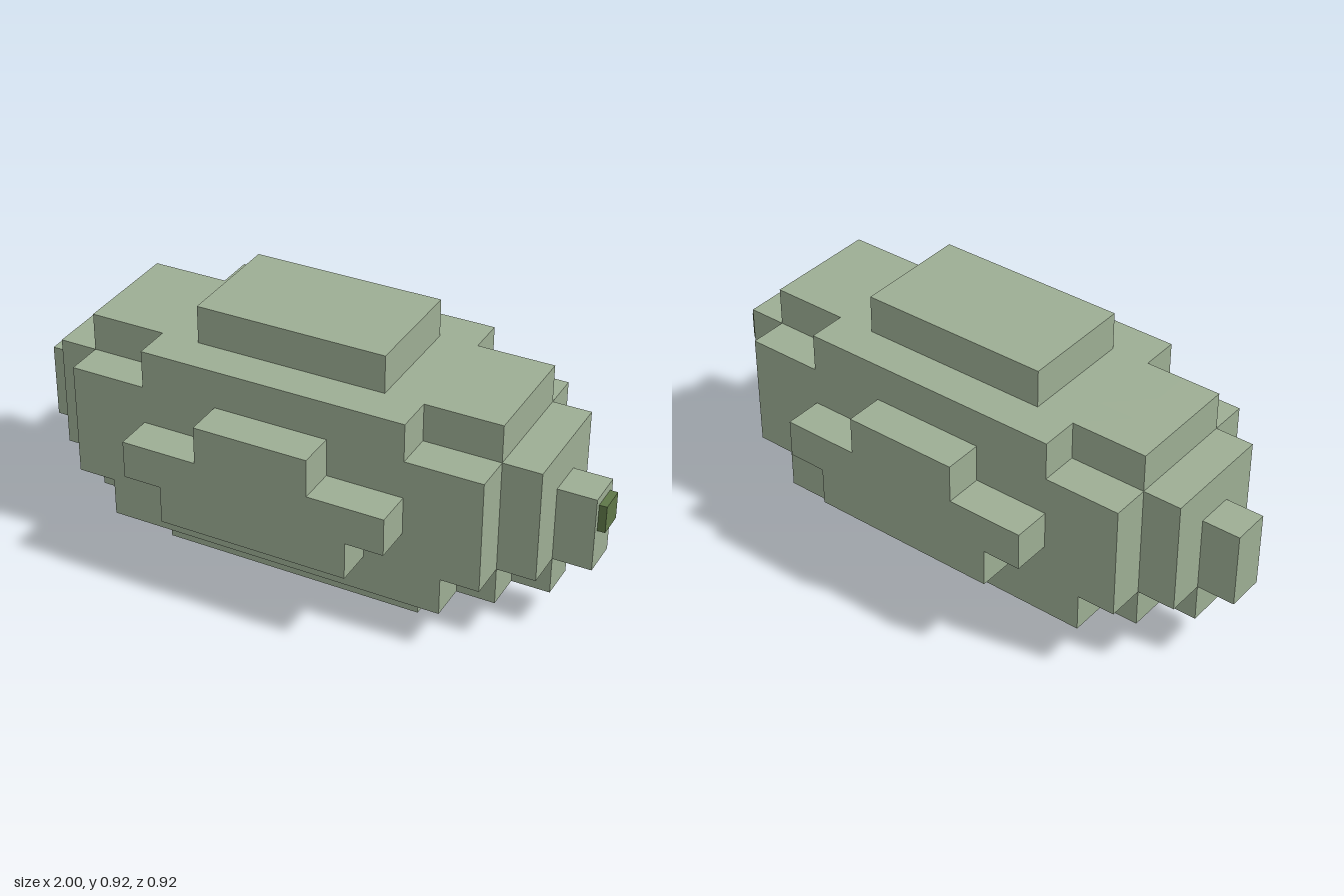
import * as THREE from 'three';
import { mergeGeometries } from 'three/addons/utils/BufferGeometryUtils.js';

const CELL = 0.1316;      // edge of one block
const CENTRE_X = -0.0132; // body sits slightly off centre because of the stem

// Half-length along x, in blocks, of each row: HALF[layer from the ground][distance from the middle in z]
const HALF = [
  [3, 3],
  [6, 5, 4],
  [7, 6, 5, 2],
  [7, 6, 5, 3],
  [6, 6, 5, 1],
  [5, 5, 3],
  [2, 2],
];

const filled = (i, j, k) => {
  const half = HALF[j]?.[Math.abs(k)];
  return half !== undefined && Math.abs(i) <= half;
};

// The six sides of a block, each a plane turned to face outward
const SIDES = [[1, 0, 0], [-1, 0, 0], [0, 1, 0], [0, -1, 0], [0, 0, 1], [0, 0, -1]].map((d) => {
  const turn = new THREE.Quaternion().setFromUnitVectors(new THREE.Vector3(0, 0, 1), new THREE.Vector3(...d));
  const face = new THREE.PlaneGeometry(CELL, CELL).applyQuaternion(turn)
    .translate(d[0] * CELL / 2, d[1] * CELL / 2, d[2] * CELL / 2);
  return { d, face };
});

// Which part of the fruit a block belongs to
function partOf(i, j, k) {
  if (j === 6) return 'crown';
  if (j === 0) return 'base';
  if (k === 3) return 'frontBulge';
  if (k === -3) return 'backBulge';
  if (i === 7) return 'stemTip';
  if (i === -7) return 'blossomTip';
  return 'body';
}

export function createModel() {
  const model = new THREE.Group();
  model.name = 'blockMelon';
  const rind = new THREE.MeshStandardMaterial({ color: 0x9dae94 });
  rind.name = 'pale green rind';
  const stalk = new THREE.MeshStandardMaterial({ color: 0x5f7748 });
  stalk.name = 'dark green stem';

  // Outer skin only: keep the block sides that have no neighbour
  const parts = {};
  for (let j = 0; j < 7; j++) for (let k = -3; k <= 3; k++) for (let i = -7; i <= 7; i++) {
    if (!filled(i, j, k)) continue;
    const list = (parts[partOf(i, j, k)] ??= []);
    for (const { d, face } of SIDES) {
      if (filled(i + d[0], j + d[1], k + d[2])) continue;
      list.push(face.clone().translate(CENTRE_X + i * CELL, (j + 0.5) * CELL, k * CELL));
    }
  }
  for (const [name, faces] of Object.entries(parts)) {
    const mesh = new THREE.Mesh(mergeGeometries(faces), rind);
    mesh.name = name;
    model.add(mesh);
  }

  // Short stem stub on the left end
  const stem = new THREE.Mesh(new THREE.BoxGeometry(0.0264, 0.096, 0.092), stalk);
  stem.name = 'stem';
  stem.position.set(0.9868, 0.449, 0);
  model.add(stem);

  return model;
}
